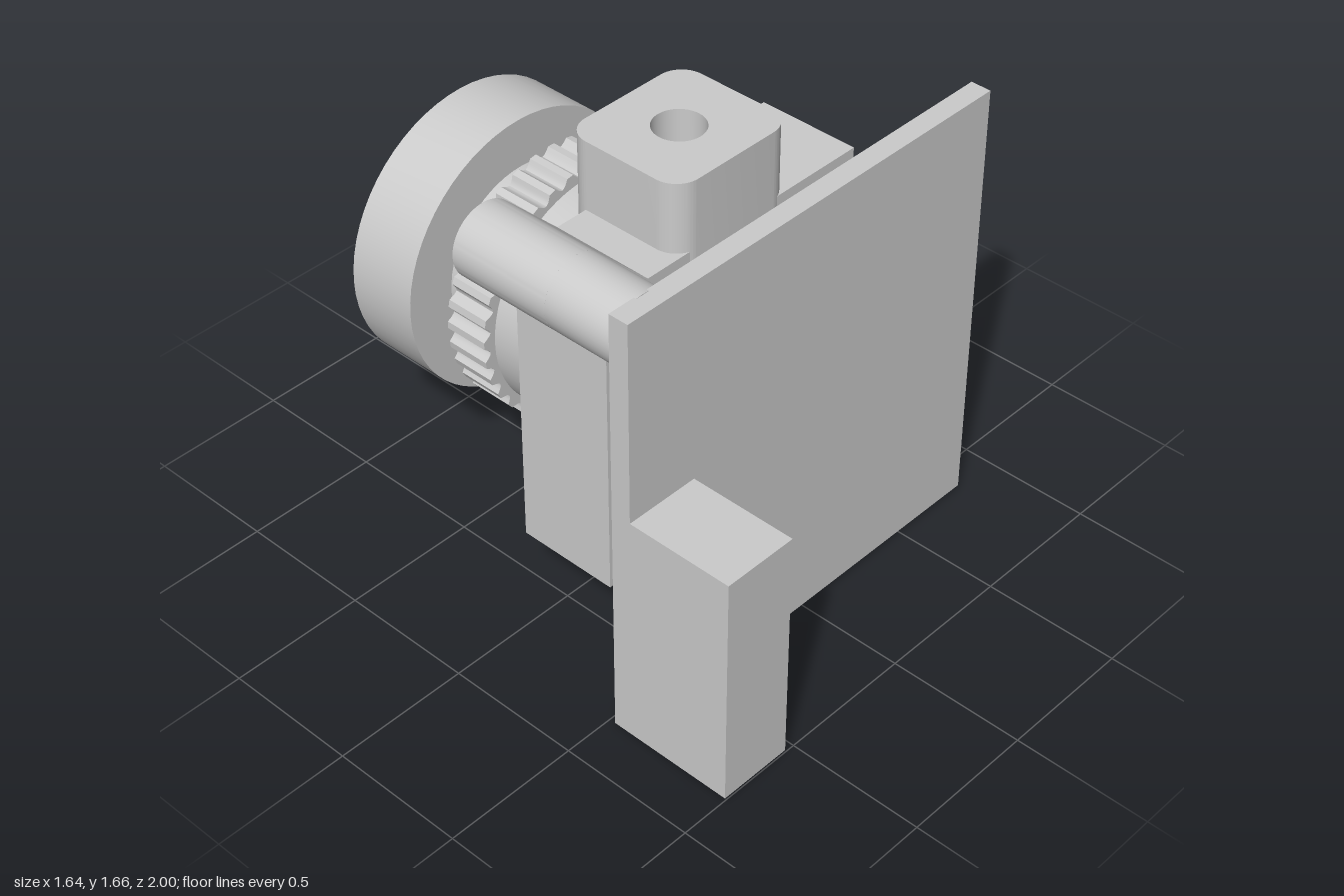
import * as THREE from 'three';
import { toCreasedNormals } from 'three/addons/utils/BufferGeometryUtils.js';

const CY = 0.828; // height of the optical axis
const material = new THREE.MeshStandardMaterial({ color: 0xcccccc });

export function createModel() {
  const model = new THREE.Group();
  model.name = 'cameraModule';

  function add(name, geometry, x = 0, y = 0, z = 0) {
    const mesh = new THREE.Mesh(toCreasedNormals(geometry, 0.6), material);
    mesh.name = name;
    mesh.position.set(x, y, z);
    model.add(mesh);
    return mesh;
  }

  // box given by its limits on each axis
  function box(name, x0, x1, y0, y1, z0, z1) {
    const g = new THREE.BoxGeometry(x1 - x0, y1 - y0, z1 - z0);
    add(name, g, (x0 + x1) / 2, (y0 + y1) / 2, (z0 + z1) / 2);
  }

  // turned part on the optical axis; points are [radius, distance behind z = 0]
  function turned(name, points) {
    const g = new THREE.LatheGeometry(points.map(([r, d]) => new THREE.Vector2(r, d)), 60);
    add(name, g.rotateX(-Math.PI / 2), 0, CY, 0);
  }

  function extrude(shape, depth) {
    return new THREE.ExtrudeGeometry(shape, { depth, bevelEnabled: false, curveSegments: 20 });
  }

  // circuit board, connector and sensor
  box('circuitBoard', -0.82, 0.82, 0.01, 1.645, 0.53, 0.605);
  box('connector', -0.82, -0.54, 0.01, 0.9, 0.605, 1);
  box('sensor', -0.43, 0.43, CY - 0.435, CY + 0.435, 0.26, 0.54);

  // mount body with two diagonal arms
  const h = 0.57, p = 0.69, r = 0.13, k = p * 2 - r * Math.SQRT2 - h - 0.24 + 0.0;
  const c = 2 * p - r * Math.SQRT2 * 1 - h - (2 * p - 2 * h) + 0; // where an arm meets the body
  const body = new THREE.Shape();
  body.moveTo(-h, -h);
  body.lineTo(c, -h);
  body.absarc(p, -p, r, -0.75 * Math.PI, 0.25 * Math.PI, false);
  body.lineTo(h, -c);
  body.lineTo(h, h);
  body.lineTo(-c, h);
  body.absarc(-p, p, r, 0.25 * Math.PI, 1.25 * Math.PI, false);
  body.lineTo(-h, c);
  body.closePath();
  add('mountBody', extrude(body, 0.385), 0, CY, -0.115);

  // posts that carry the board
  for (const s of [-1, 1]) {
    const post = new THREE.CylinderGeometry(r, r, 0.28, 40).rotateX(Math.PI / 2);
    add('boardPost', post, s * p, CY - s * p, 0.4);
  }

  // rounded screw lugs above and below, each with a blind hole
  const w = 0.26, d = 0.2375, q = 0.09;
  const lug = new THREE.Shape();
  lug.absarc(w - q, d - q, q, 0, Math.PI / 2);
  lug.absarc(-w + q, d - q, q, Math.PI / 2, Math.PI);
  lug.absarc(-w + q, -d + q, q, Math.PI, 1.5 * Math.PI);
  lug.absarc(w - q, -d + q, q, 1.5 * Math.PI, 2 * Math.PI);
  lug.closePath();
  lug.holes.push(new THREE.Path().absarc(0, 0, 0.09, 0, 2 * Math.PI, true));
  for (const s of [-1, 1]) {
    const g = extrude(lug, 0.47).translate(0, 0, 0.358).rotateX(-s * Math.PI / 2);
    add(s > 0 ? 'topLug' : 'bottomLug', g, 0, CY, 0.0375);
  }

  // barrel with a filleted foot
  const foot = [];
  for (let i = 0; i <= 8; i++) {
    const a = (i / 8) * Math.PI / 2;
    foot.push([0.52 - 0.09 * Math.sin(a), 0.205 - 0.09 * Math.cos(a)]);
  }
  turned('barrel', [...foot, [0.43, 0.38]]);

  // focus ring with scooped grooves
  const ring = new THREE.Shape();
  const teeth = 36, pitch = 2 * Math.PI / teeth;
  for (let i = 0; i < teeth; i++) {
    for (let j = 0; j <= 6; j++) {
      const t = j / 6;
      const a = (i + 0.68 * t) * pitch;
      const rad = 0.478 - 0.027 * Math.sin(Math.PI * t);
      const [x, y] = [rad * Math.cos(a), rad * Math.sin(a)];
      if (i + j === 0) ring.moveTo(x, y);
      else ring.lineTo(x, y);
    }
  }
  ring.closePath();
  add('focusRing', extrude(ring, 0.17), 0, CY, -0.545);

  // neck, head and domed lens
  turned('neck', [[0.335, 0.5], [0.335, 0.7]]);
  turned('lensHead', [[0, 0.68], [0.52, 0.68], [0.52, 0.957], [0, 0.957]]);
  turned('lens', [[0.425, 0.95], [0.42, 0.963], [0.39, 0.974], [0.33, 0.984],
    [0.24, 0.992], [0.12, 0.998], [0, 1]]);

  return model;
}
